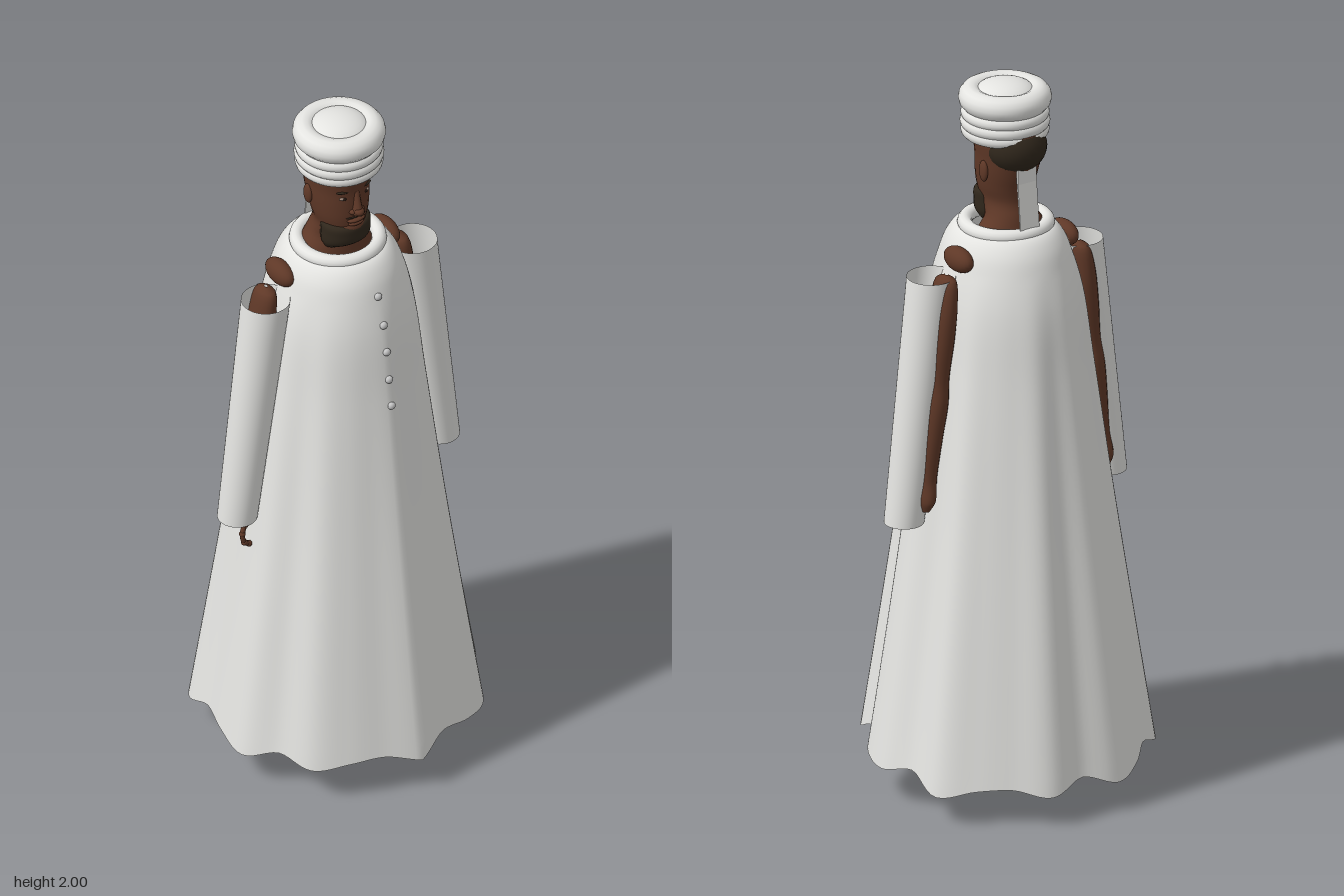
import * as THREE from 'three';

const mat = (name, color, side = THREE.FrontSide) => {
  const m = new THREE.MeshStandardMaterial({ color, side });
  m.name = name;
  return m;
};

// Closed rings stacked from bottom to top; point(row, angle) gives [x, y, z]
function ringSurface(rows, seg, point) {
  const pos = [], idx = [];
  for (let i = 0; i < rows; i++) {
    for (let j = 0; j < seg; j++) pos.push(...point(i, (j / seg) * Math.PI * 2));
  }
  for (let i = 0; i < rows - 1; i++) {
    for (let j = 0; j < seg; j++) {
      const k = (j + 1) % seg, a = i * seg, b = a + seg;
      idx.push(a + j, a + k, b + k, a + j, b + k, b + j);
    }
  }
  const g = new THREE.BufferGeometry();
  g.setAttribute('position', new THREE.Float32BufferAttribute(pos, 3));
  g.setIndex(idx);
  g.computeVertexNormals();
  return g;
}

// Elliptical sections [y, centreX, centreZ, radiusX, radiusZ], ascending in y
function loft(sections, seg = 24, steps = 4) {
  const n = (sections.length - 1) * steps + 1;
  const curves = [
    new THREE.CatmullRomCurve3(sections.map(s => new THREE.Vector3(s[0], s[1], s[2]))),
    new THREE.CatmullRomCurve3(sections.map(s => new THREE.Vector3(s[0], s[3], s[4]))),
  ];
  return ringSurface(n, seg, (i, a) => {
    const c = curves[0].getPoint(i / (n - 1)), r = curves[1].getPoint(i / (n - 1));
    return [c.y + Math.sin(a) * r.y, c.x, c.z + Math.cos(a) * r.z];
  });
}

export function createModel() {
  const model = new THREE.Group();
  model.name = 'robedFigure';
  const cloth = mat('white cloth', 0xe4e4e1, THREE.DoubleSide);
  const skin = mat('brown skin', 0x5f3827);
  const hair = mat('dark hair', 0x30271c);
  const leather = mat('dark leather', 0x2a1c14);
  const button = mat('grey button', 0xc4c4c4);
  const eyeWhite = mat('eye white', 0x9a8578);

  const add = (name, geo, material, x = 0, y = 0, z = 0, parent = model) => {
    const m = new THREE.Mesh(geo, material);
    m.name = name;
    m.position.set(x, y, z);
    parent.add(m);
    return m;
  };
  const ball = (name, material, p, r, parent) =>
    add(name, new THREE.SphereGeometry(1, 24, 16).scale(...r), material, ...p, parent);
  const ring = (name, R, tube, y, z) =>
    add(name, new THREE.TorusGeometry(R, tube, 14, 56).rotateX(Math.PI / 2), cloth, 0, y, z);

  // Robe: bell profile whose folds deepen toward an irregular hem
  const hem = [.395, .365, .38, .39, .354, .383, .392, .372, .41, .39, .385, .405,
    .377, .408, .394, .378, .405, .372, .382, .398, .37, .39, .376, .37];
  const hemCurve = new THREE.CatmullRomCurve3(
    hem.map((r, i) => new THREE.Vector3(r, i / 24, 0)).concat(new THREE.Vector3(hem[0], 1, 0)));
  const profile = new THREE.CatmullRomCurve3([[.385, .105], [.345, .4], [.292, .8], [.243, 1.2], [.218, 1.4],
    [.192, 1.5], [.17, 1.555], [.142, 1.588], [.108, 1.6]].map(p => new THREE.Vector3(p[0], p[1], 0)));
  const rows = 49;
  add('robe', ringSurface(rows, 144, (i, a) => {
    const p = profile.getPoint(i / (rows - 1));
    const h = hemCurve.getPoint(a / (Math.PI * 2)).x - .386;
    const t = THREE.MathUtils.clamp((1.5 - p.y) / 1.4, 0, 1);
    const r = p.x + h * Math.pow(t, .8);
    const squeeze = 1 - .09 * (1 - t);
    return [Math.sin(a) * r * squeeze, p.y - h * 1.1 * t ** 4, Math.cos(a) * r - .008 * (1 - t)];
  }), cloth);
  ring('collar', .11, .02, 1.594, -.01);

  // Front buttons
  [[1.515, .182], [1.435, .208], [1.355, .223], [1.27, .234], [1.19, .246]].forEach(([y, z]) =>
    ball('button', button, [0, y, z], [.011, .011, .009]));

  // Head and neck
  add('head', loft([[1.52, 0, -.035, .13, .08], [1.59, 0, -.035, .1, .068], [1.63, 0, -.033, .072, .062],
    [1.67, 0, -.008, .064, .078], [1.71, 0, -.006, .074, .086], [1.755, 0, -.012, .081, .094],
    [1.8, 0, -.018, .084, .1], [1.86, 0, -.02, .088, .106], [1.93, 0, -.02, .06, .07]], 32), skin);
  ball('hair', hair, [0, 1.83, -.06], [.084, .072, .077]);
  ball('chin', skin, [0, 1.68, .045], [.045, .028, .038]);
  // Nose from a tapered ridge, a tip and nostrils
  add('noseBridge', loft([[1.735, 0, .08, .017, .024], [1.765, 0, .075, .012, .021],
    [1.805, 0, .07, .01, .014]], 16), skin);
  ball('noseTip', skin, [0, 1.744, .092], [.014, .012, .014]);
  ball('upperLip', skin, [0, 1.71, .077], [.028, .007, .012]);
  ball('lowerLip', skin, [0, 1.698, .076], [.024, .007, .011]);
  ball('moustache', hair, [0, 1.72, .074], [.03, .004, .009]);
  add('beard', loft([[1.605, 0, .015, .058, .03], [1.63, 0, .024, .07, .053], [1.66, 0, .026, .071, .057],
    [1.685, 0, .024, .069, .056], [1.695, 0, .015, .05, .04]], 28), hair);
  for (const s of [-1, 1]) {
    ball('nostril', skin, [s * .014, 1.741, .079], [.009, .008, .011]);
    ball('eye', eyeWhite, [s * .034, 1.787, .068], [.013, .005, .007]);
    ball('pupil', leather, [s * .034, 1.787, .0735], [.005, .005, .003]);
    ball('brow', hair, [s * .036, 1.808, .07], [.02, .004, .006]).rotation.y = s * .3;
    ball('ear', skin, [s * .084, 1.765, -.028], [.009, .03, .017]);
  }

  // Wrapped hat with stacked rolls and a domed crown
  add('hatBand', new THREE.CylinderGeometry(.1, .108, .12, 48, 1, true), cloth, 0, 1.91, -.005);
  ring('hatTopRoll', .091, .034, 1.954, -.005);
  [[1.912, .1], [1.887, .102], [1.863, .1]].forEach(([y, R]) => ring('hatRoll', R, .0185, y, -.005));
  ball('hatCrown', cloth, [0, 1.965, -.005], [.082, .035, .082]);

  // Ribbon hanging from the back of the hat
  const ribbon = new THREE.Shape([[-.102, 1.86], [-.106, 1.74], [-.122, 1.6], [-.126, 1.6],
    [-.112, 1.74], [-.11, 1.86]].map(p => new THREE.Vector2(-p[0], p[1])));
  add('ribbon', new THREE.ExtrudeGeometry(ribbon, { depth: .06, bevelEnabled: false })
    .rotateY(Math.PI / 2), cloth, -.03, 0, 0);

  for (const s of [-1, 1]) {
    const side = s > 0 ? 'left' : 'right';
    // Open sleeve, slanting outward with level ends
    add(side + 'Sleeve', ringSurface(9, 40, (i, a) => {
      const t = i / 8, r = THREE.MathUtils.lerp(.054, .066, t);
      return [s * THREE.MathUtils.lerp(.324, .235, t) + Math.sin(a) * r,
        .8 + .69 * t, THREE.MathUtils.lerp(-.007, -.004, t) + Math.cos(a) * r];
    }), cloth);
    // Shoulder and arm
    ball(side + 'Shoulder', skin, [s * .168, 1.532, -.035], [.029, .034, .057]);
    add(side + 'Arm', loft([[.84, s * .288, -.05, .012, .02], [.87, s * .284, -.05, .024, .034],
      [.93, s * .276, -.048, .025, .025], [1.05, s * .262, -.046, .03, .034], [1.14, s * .25, -.046, .033, .039],
      [1.21, s * .242, -.046, .03, .032], [1.32, s * .23, -.044, .034, .041], [1.42, s * .22, -.042, .032, .046],
      [1.485, s * .212, -.04, .024, .036], [1.5, s * .21, -.04, .004, .006]], 20), skin);

    // Leg
    const fx = s > 0 ? .118 : -.112;
    add(side + 'Leg', loft([[.05, fx, -.045, .03, .036], [.11, fx, -.045, .031, .036],
      [.2, fx * .97, -.045, .034, .04], [.34, fx * .92, -.05, .047, .055], [.5, fx * .85, -.03, .046, .05],
      [.75, fx * .75, -.02, .06, .065], [.95, fx * .7, -.02, .065, .07]], 20), skin);
    // Foot, lofted heel to toe: [z, x, -y, half width, half height]
    add(side + 'Foot', loft([[-.09, fx, -.045, .004, .005], [-.08, fx, -.046, .026, .028],
      [-.04, fx, -.056, .033, .042], [.02, fx, -.051, .034, .037], [.09, fx, -.038, .042, .024],
      [.145, fx, -.031, .046, .017], [.17, fx, -.028, .03, .01]], 20).rotateX(Math.PI / 2), skin);
    for (let i = 0; i < 5; i++) {
      ball(side + 'Toe', skin, [fx + s * (i - 2) * .018, .026, .178 - i * .009],
        [i ? .009 : .013, i ? .01 : .012, .022]);
    }
    ball(side + 'Ankle', skin, [fx + s * .026, .085, -.04], [.012, .015, .016]);
  }

  // Curled fingers below the right sleeve
  const finger = new THREE.CatmullRomCurve3([[-.295, .79, .01], [-.312, .775, .012], [-.322, .75, .014],
    [-.316, .72, .014], [-.3, .708, .012]].map(p => new THREE.Vector3(...p)));
  add('rightFingers', new THREE.TubeGeometry(finger, 20, .007, 8), skin);
  for (let i = 0; i <= 4; i++) {
    const p = finger.getPoint(i / 4);
    ball('rightKnuckle', skin, [p.x, p.y, p.z], [.009, .009, .009]);
  }

  // Sandal sole under the left foot
  const sole = new THREE.Shape();
  sole.moveTo(.115, -.2);
  sole.splineThru([[.17, -.17], [.188, -.11], [.165, -.02], [.158, .05], [.115, .085], [.075, .05],
    [.065, -.02], [.042, -.11], [.06, -.175], [.115, -.2]].map(p => new THREE.Vector2(...p)));
  add('sandalSole', new THREE.ExtrudeGeometry(sole, { depth: .012, bevelEnabled: false, curveSegments: 40 })
    .rotateX(-Math.PI / 2), leather);
  add('sandalStrap', new THREE.TorusGeometry(.047, .005, 8, 24, Math.PI).scale(1, .95, 1), leather, .118, .012, .105);

  return model;
}
